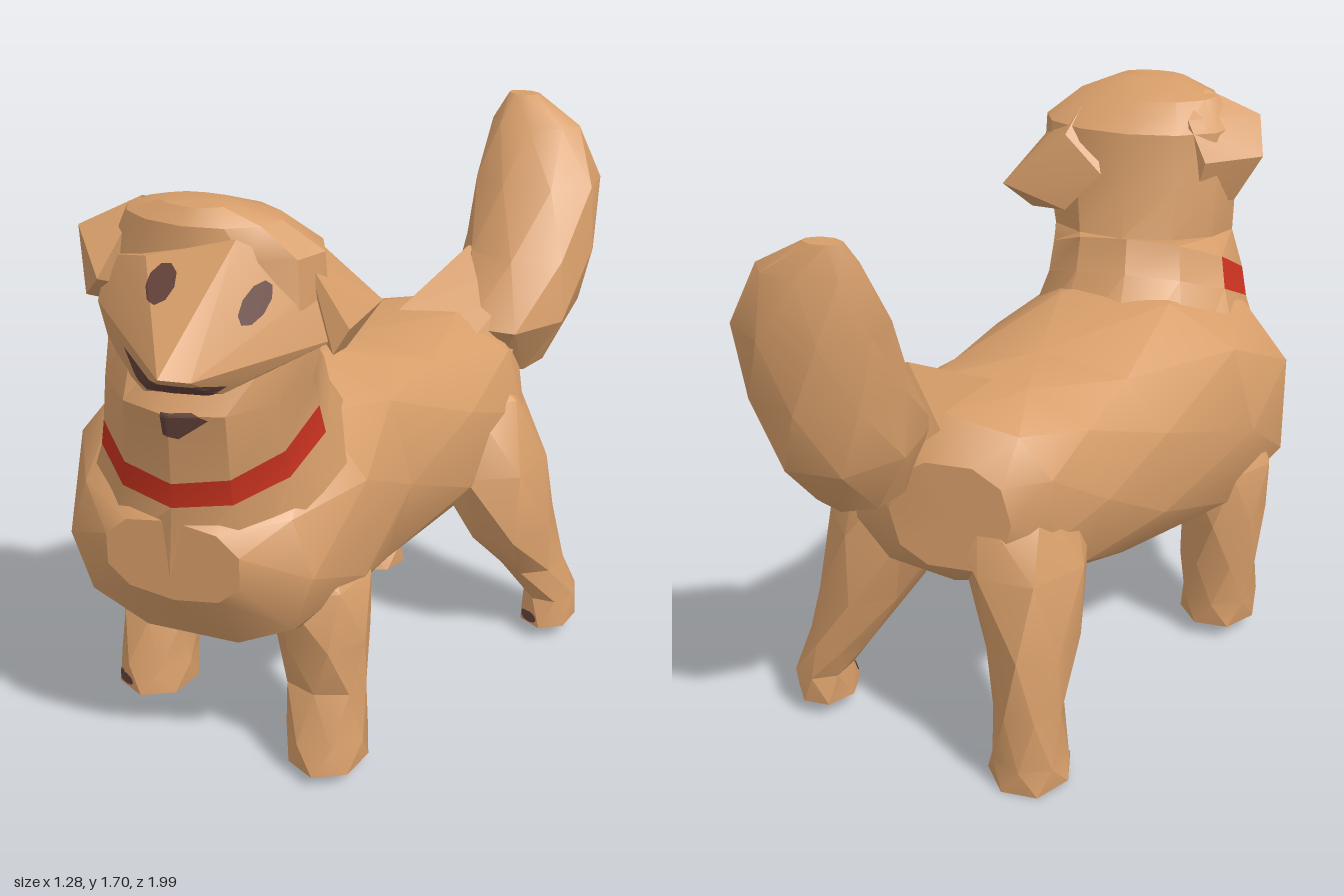
import * as THREE from 'three';
import { toCreasedNormals } from 'three/addons/utils/BufferGeometryUtils.js';
import { ConvexGeometry } from 'three/addons/geometries/ConvexGeometry.js';

const material = (name, color, side = THREE.FrontSide) => {
  const m = new THREE.MeshStandardMaterial({ color, side });
  m.name = name;
  return m;
};

export function createModel() {
  const fur = material('fur', 0xd69d69);
  const red = material('collar red', 0xc8321f);
  const brown = material('dark brown', 0x64423a, THREE.DoubleSide);
  const dog = new THREE.Group();
  dog.name = 'dog';

  const add = (name, geometry, mat) => {
    const mesh = new THREE.Mesh(geometry, mat);
    mesh.name = name;
    dog.add(mesh);
    return mesh;
  };

  // Skin over rounded rings [x, y, z, rx, r2, tilt], ordered along +y or +z.
  // A power below 1 squares the rings off. Odd rings are turned by the twist.
  // accent(ring, angle) picks the faces using the second material; ring -1 is the first cap.
  function loft(name, rings, { axis = 'y', n = 8, twist = 0.5, power = 1, second = brown, accent = () => false } = {}) {
    const bend = (v) => Math.sign(v) * Math.abs(v) ** power;
    const loops = rings.map(([x, y, z, rx, r2, tilt = 0], i) => Array.from({ length: n }, (_, j) => {
      const a = ((j + (i % 2) * twist) / n) * Math.PI * 2;
      const s = bend(Math.sin(a)), c = bend(Math.cos(a));
      return axis === 'y'
        ? [x + rx * s, y - tilt * r2 * c, z + r2 * c]
        : [x + rx * c, y + r2 * s, z];
    }));
    const parts = [[], []];
    const tri = (k, ...pts) => pts.forEach((p) => parts[k].push(...p));
    const last = rings.length - 1;
    for (let j = 0; j < n; j++) {
      const k = (j + 1) % n;
      const angle = ((j + 0.5) / n) * Math.PI * 2;
      tri(accent(-1, angle) ? 1 : 0, rings[0].slice(0, 3), loops[0][k], loops[0][j]);
      for (let i = 0; i < last; i++) {
        const m = accent(i, angle) ? 1 : 0;
        const [a, b, c, d] = [loops[i][j], loops[i][k], loops[i + 1][k], loops[i + 1][j]];
        if (i % 2 || !twist) { tri(m, a, b, c); tri(m, a, c, d); }
        else { tri(m, a, b, d); tri(m, b, c, d); }
      }
      tri(0, rings[last].slice(0, 3), loops[last][j], loops[last][k]);
    }
    const g = new THREE.BufferGeometry();
    g.setAttribute('position', new THREE.Float32BufferAttribute([...parts[0], ...parts[1]], 3));
    g.addGroup(0, parts[0].length / 3, 0);
    if (parts[1].length) g.addGroup(parts[0].length / 3, parts[1].length / 3, 1);
    return add(name, toCreasedNormals(g, 0.5), [fur, second]);
  }

  const hull = (name, pts) => add(name,
    toCreasedNormals(new ConvexGeometry(pts.map((p) => new THREE.Vector3(...p))), 0.35), fur);

  // Torso, running diagonally from rump to chest
  loft('torso', [
    [0.09, 0.8, -0.65, 0.17, 0.16],
    [0.11, 0.81, -0.57, 0.29, 0.25],
    [0.09, 0.78, -0.4, 0.37, 0.31],
    [-0.01, 0.75, -0.15, 0.39, 0.33],
    [-0.15, 0.77, 0.15, 0.43, 0.39],
    [-0.2, 0.75, 0.4, 0.45, 0.39],
    [-0.19, 0.71, 0.64, 0.36, 0.26],
    [-0.18, 0.76, 0.76, 0.2, 0.12],
  ], { axis: 'z', n: 10, power: 0.82 });

  // Neck and skull, with the collar as an open band reaching further on the right
  loft('neckAndSkull', [
    [-0.19, 0.83, 0.35, 0.41, 0.41, 0.3],
    [-0.17, 1.065, 0.48, 0.315, 0.29, 0.48],
    [-0.165, 1.15, 0.5, 0.3, 0.275, 0.55],
    [-0.14, 1.25, 0.55, 0.28, 0.275, 0.12],
    [-0.13, 1.43, 0.515, 0.3, 0.195],
    [-0.13, 1.58, 0.515, 0.29, 0.17],
    [-0.15, 1.66, 0.55, 0.21, 0.13],
    [-0.15, 1.7, 0.59, 0.1, 0.06],
  ], {
    n: 12, twist: 0, second: red,
    accent: (i, a) => i === 1 && Math.cos(a) > (Math.sin(a) > 0 ? 0.1 : -0.3),
  });

  // Wedge-shaped face, its right cheek running down to the jaw
  hull('muzzle', [
    [-0.24, 1.58, 0.7], [-0.01, 1.64, 0.67], [0.16, 1.5, 0.51], [0.2, 1.36, 0.53],
    [0.08, 1.33, 0.74], [0.01, 1.3, 0.82], [-0.15, 1.29, 0.83], [-0.26, 1.33, 0.78],
    [-0.41, 1.42, 0.65], [-0.4, 1.53, 0.6], [-0.07, 1.4, 1], [-0.01, 1.38, 0.95],
    [-0.37, 1.22, 0.64], [-0.26, 1.22, 0.73], [-0.1, 1.45, 0.4],
  ]);

  // Folded ears
  hull('leftEar', [
    [0.02, 1.66, 0.48], [0.13, 1.56, 0.55], [0.24, 1.4, 0.56], [0.25, 1.4, 0.34],
    [0.19, 1.3, 0.45], [0.05, 1.34, 0.32], [0.2, 1.33, 0.57], [0.06, 1.56, 0.36],
    [-0.06, 1.46, 0.32],
  ]);
  hull('rightEar', [
    [-0.32, 1.68, 0.55], [-0.48, 1.6, 0.6], [-0.51, 1.5, 0.5], [-0.46, 1.42, 0.62],
    [-0.43, 1.36, 0.5], [-0.36, 1.5, 0.38], [-0.38, 1.5, 0.7], [-0.3, 1.62, 0.4],
    [-0.32, 1.36, 0.4],
  ]);

  // Legs, listed from paw to body, with dark soles
  const legs = {
    leftFrontLeg: [
      [0.15, 0.04, 0.485, 0.115, 0.135], [0.145, 0.12, 0.475, 0.12, 0.125],
      [0.13, 0.27, 0.455, 0.12, 0.09], [0.12, 0.43, 0.44, 0.14, 0.14],
      [0.06, 0.6, 0.41, 0.18, 0.18], [-0.02, 0.74, 0.4, 0.15, 0.15],
    ],
    rightFrontLeg: [
      [-0.475, 0.05, 0.31, 0.12, 0.135], [-0.475, 0.13, 0.3, 0.12, 0.125],
      [-0.475, 0.27, 0.27, 0.122, 0.1], [-0.475, 0.43, 0.29, 0.135, 0.15],
      [-0.46, 0.6, 0.32, 0.16, 0.18], [-0.42, 0.74, 0.34, 0.13, 0.15],
    ],
    leftHindLeg: [
      [0.56, 0.05, -0.45, 0.09, 0.11], [0.565, 0.14, -0.46, 0.085, 0.1],
      [0.5, 0.26, -0.44, 0.1, 0.13], [0.43, 0.42, -0.38, 0.15, 0.19],
      [0.35, 0.64, -0.37, 0.19, 0.21], [0.27, 0.84, -0.39, 0.18, 0.17],
      [0.2, 0.96, -0.4, 0.1, 0.1],
    ],
    rightHindLeg: [
      [-0.12, 0.02, -0.62, 0.12, 0.125, -0.15], [-0.12, 0.08, -0.63, 0.11, 0.11],
      [-0.12, 0.24, -0.63, 0.1, 0.11], [-0.11, 0.42, -0.56, 0.13, 0.16],
      [-0.07, 0.64, -0.48, 0.18, 0.22], [0.02, 0.84, -0.44, 0.2, 0.19],
      [0.08, 0.93, -0.42, 0.1, 0.1],
    ],
  };
  for (const [name, rings] of Object.entries(legs)) {
    loft(name, rings, { n: 7, accent: (i) => i === -1 });
  }

  // Bushy upright tail
  loft('tail', [
    [0.33, 0.86, -0.65, 0.12, 0.15],
    [0.34, 1.03, -0.67, 0.2, 0.28],
    [0.36, 1.21, -0.76, 0.205, 0.22],
    [0.36, 1.4, -0.84, 0.2, 0.16],
    [0.33, 1.56, -0.89, 0.14, 0.09],
    [0.28, 1.64, -0.92, 0.05, 0.03],
  ]);
  hull('tailRoot', [
    [0.05, 1.07, -0.35], [0.12, 1.1, -0.48], [0.3, 1.02, -0.36], [0.4, 0.95, -0.45],
    [0.08, 0.9, -0.58], [0.2, 1.22, -0.62], [0.42, 1.2, -0.65], [0.36, 0.88, -0.7],
  ]);

  // Painted details, draped over the surfaces facing forward
  dog.updateMatrixWorld(true);
  const solids = [...dog.children];
  const ray = new THREE.Raycaster();
  function paint(name, outline, lift = 0.006) {
    const drape = ([x, y]) => {
      ray.set(new THREE.Vector3(x, y, 3), new THREE.Vector3(0, 0, -1));
      const hit = ray.intersectObjects(solids, false)[0];
      return [x, y, (hit ? hit.point.z : 0.8) + lift];
    };
    const mid = [0, 1].map((k) => outline.reduce((s, p) => s + p[k], 0) / outline.length);
    const mix = (p, q, t) => [0, 1].map((k) => p[k] + (q[k] - p[k]) * t);
    const steps = 6;
    const pos = [];
    outline.forEach((p, i) => {
      const q = outline[(i + 1) % outline.length];
      // a fine fan keeps the paint on the surface across creases
      const at = (r, s) => drape(mix(mid, mix(p, q, r ? s / r : 0), r / steps));
      for (let r = 0; r < steps; r++) {
        for (let s = 0; s <= r; s++) {
          pos.push(...at(r, s), ...at(r + 1, s), ...at(r + 1, s + 1));
          if (s < r) pos.push(...at(r, s), ...at(r + 1, s + 1), ...at(r, s + 1));
        }
      }
    });
    const g = new THREE.BufferGeometry();
    g.setAttribute('position', new THREE.Float32BufferAttribute(pos, 3));
    g.computeVertexNormals();
    add(name, g, brown);
  }
  // outlines run counter-clockwise
  const oval = (x, y, rx, ry) => Array.from({ length: 9 }, (_, i) => {
    const a = (i / 9) * Math.PI * 2;
    return [x + rx * Math.cos(a), y + ry * Math.sin(a)];
  });
  paint('rightEye', oval(-0.165, 1.545, 0.042, 0.036));
  paint('leftEye', oval(0.055, 1.5, 0.024, 0.042), 0.008);
  paint('nose', [[-0.25, 1.385], [-0.21, 1.33], [-0.12, 1.285], [-0.03, 1.29], [0.03, 1.33], [0.0, 1.36], [-0.08, 1.38]], 0.012);
  paint('mouth', [[-0.16, 1.16], [-0.12, 1.15], [-0.04, 1.21], [-0.08, 1.23], [-0.16, 1.225]]);
  paint('rightToePatch', oval(-0.54, 0.08, 0.035, 0.018));
  paint('hindToePatch', oval(0.52, 0.075, 0.03, 0.018));

  return dog;
}
